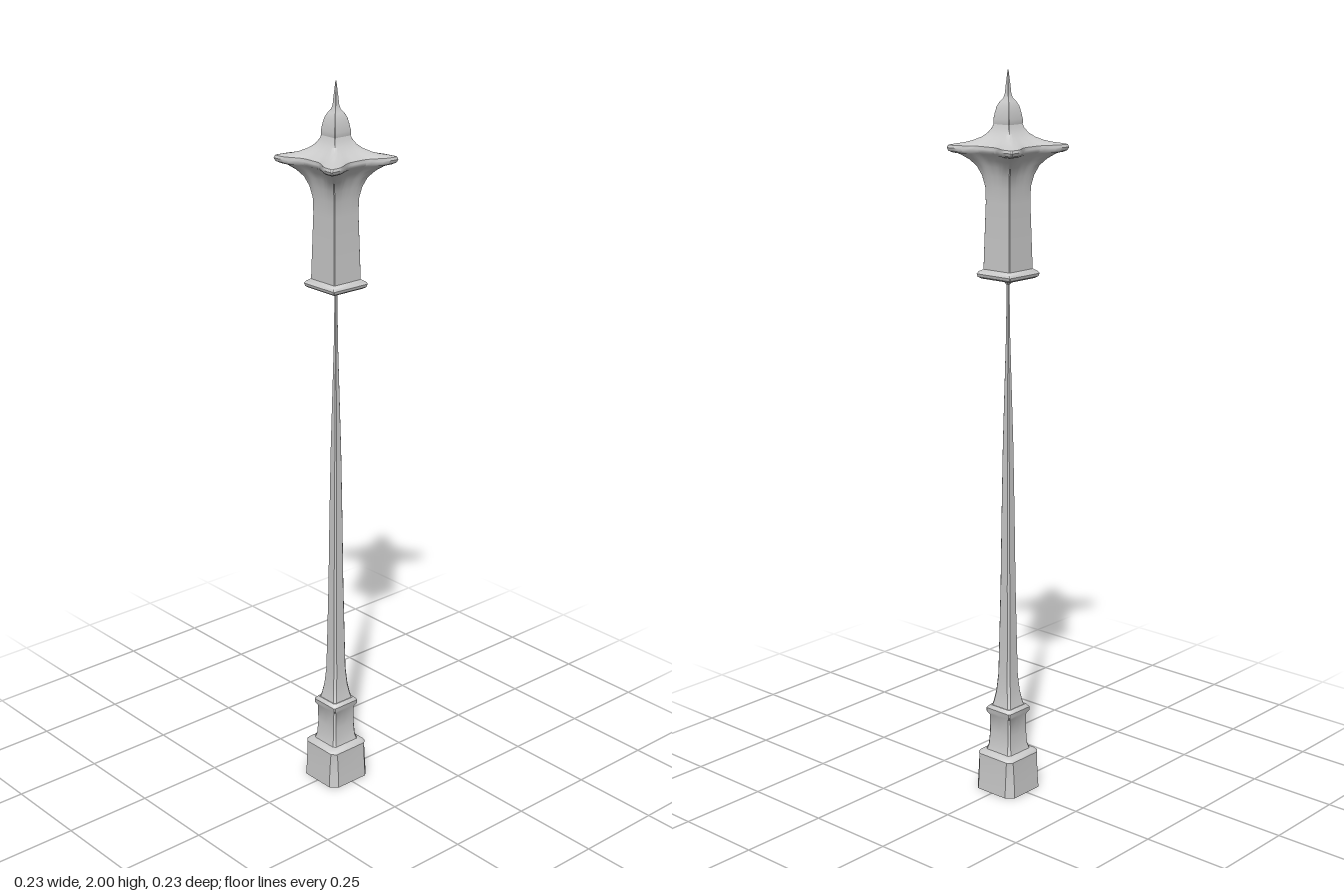
import * as THREE from 'three';
import { toCreasedNormals } from 'three/addons/utils/BufferGeometryUtils.js';

const grey = new THREE.MeshStandardMaterial({ color: 0xcccccc });

// Square outline: mid = half width at mid-side, corner = half width at the
// corners, cut = how far the corners are chamfered.
function outline(mid, corner, cut, steps) {
  const points = [];
  const reach = corner - cut;
  for (let side = 0; side < 4; side++) {
    const a = side * Math.PI / 2, c = Math.cos(a), s = Math.sin(a);
    for (let i = 0; i <= steps; i++) {
      const t = -1 + 2 * i / steps;
      const u = reach * t;
      const v = mid + (corner - mid) * THREE.MathUtils.smoothstep(Math.abs(t), 0.2, 0.85);
      points.push([u * c + v * s, -u * s + v * c]);
    }
  }
  return points;
}

// Stacks outlines [y, mid, corner, cut] into a closed solid.
function loft(name, sections, steps = 2, crease = 0.6) {
  const pos = [], index = [];
  const n = 4 * (steps + 1);
  for (const [y, mid, corner = mid, cut = mid * 0.04] of sections)
    for (const [x, z] of outline(mid, corner, cut, steps)) pos.push(x, y, z);
  for (let r = 0; r < sections.length - 1; r++)
    for (let i = 0; i < n; i++) {
      const a = r * n + i, b = r * n + (i + 1) % n;
      index.push(a, b, b + n, a, b + n, a + n);
    }
  const last = sections.length - 1;
  const bottom = pos.length / 3, top = bottom + 1;
  pos.push(0, sections[0][0], 0, 0, sections[last][0], 0);
  for (let i = 0; i < n; i++) {
    const j = (i + 1) % n;
    index.push(bottom, j, i, top, last * n + i, last * n + j);
  }
  const geometry = new THREE.BufferGeometry();
  geometry.setAttribute('position', new THREE.Float32BufferAttribute(pos, 3));
  geometry.setIndex(index);
  const mesh = new THREE.Mesh(toCreasedNormals(geometry, crease), grey);
  mesh.name = name;
  return mesh;
}

export function createModel() {
  const group = new THREE.Group();
  group.name = 'lampPost';

  // Chamfered foot block
  group.add(loft('foot', [
    [0, 0.070, 0.070, 0.019], [0.03, 0.068, 0.068, 0.018], [0.095, 0.064, 0.064, 0.014],
    [0.105, 0.064, 0.064, 0.012], [0.112, 0.058, 0.058, 0.010], [0.116, 0.046, 0.046, 0.007],
  ]));

  // Pedestal with a moulded lip
  group.add(loft('pedestal', [
    [0.11, 0.047, 0.047, 0.007], [0.13, 0.041, 0.041, 0.006], [0.17, 0.038, 0.038, 0.005],
    [0.22, 0.038, 0.038, 0.004], [0.230, 0.044, 0.044, 0.003], [0.240, 0.044, 0.044, 0.003],
    [0.249, 0.036, 0.036, 0.004],
  ]));

  // Tapering pole
  group.add(loft('pole', [
    [0.24, 0.036, 0.036, 0.006], [0.26, 0.031, 0.031, 0.006], [0.29, 0.026, 0.026, 0.006],
    [0.34, 0.022, 0.022, 0.006], [0.42, 0.020, 0.020, 0.005], [0.6, 0.017, 0.017, 0.005],
    [0.8, 0.0145, 0.0145, 0.004], [1.0, 0.0115, 0.0115, 0.003], [1.2, 0.007, 0.007, 0.002],
    [1.3, 0.0045, 0.0045, 0.001], [1.445, 0.003, 0.003, 0.001],
  ]));

  // Small boss where the pole meets the lantern
  group.add(loft('lanternBoss', [
    [1.44, 0.003, 0.003, 0.001], [1.447, 0.008, 0.008, 0.003],
    [1.455, 0.010, 0.010, 0.003], [1.464, 0.008, 0.008, 0.003],
  ]));

  // Lantern floor plate
  group.add(loft('lanternPlate', [
    [1.458, 0.050], [1.463, 0.058], [1.471, 0.060], [1.477, 0.056], [1.483, 0.047],
  ]));

  // Lantern body flaring out beneath the eaves
  group.add(loft('lanternBody', [
    [1.475, 0.047], [1.55, 0.045], [1.66, 0.042], [1.70, 0.043], [1.73, 0.047, 0.049],
    [1.755, 0.054, 0.059], [1.772, 0.063, 0.073], [1.784, 0.072, 0.088], [1.793, 0.080, 0.104],
  ], 16));

  // Scooped roof with projecting corners
  group.add(loft('roof', [
    [1.789, 0.078, 0.102, 0.003], [1.794, 0.083, 0.111, 0.003], [1.802, 0.085, 0.114, 0.003],
    [1.809, 0.083, 0.111, 0.003], [1.812, 0.078, 0.099], [1.815, 0.071, 0.083],
    [1.820, 0.061, 0.067], [1.829, 0.048, 0.050], [1.840, 0.038, 0.038],
    [1.853, 0.030, 0.030], [1.868, 0.025, 0.025],
  ], 16));

  // Domed finial and spike
  group.add(loft('finial', [
    [1.856, 0.026], [1.864, 0.0275], [1.874, 0.0275], [1.890, 0.025], [1.908, 0.021],
    [1.920, 0.015], [1.928, 0.009], [1.940, 0.006], [1.960, 0.0045], [2.0, 0.0008],
  ]));

  return group;
}
